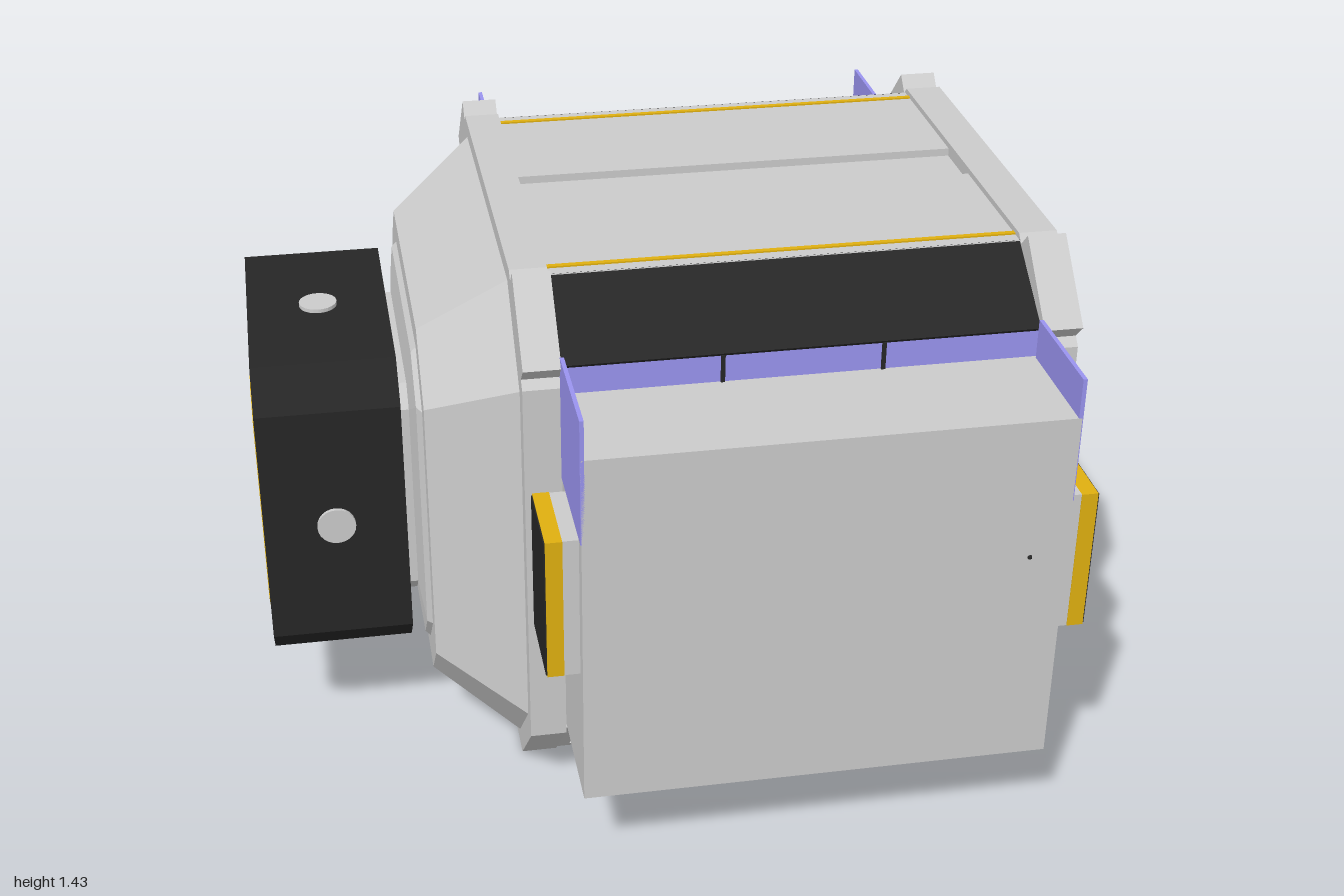
import * as THREE from 'three';

const mat = (color, side = THREE.FrontSide) =>
  new THREE.MeshStandardMaterial({ color, side, flatShading: true });
const GREY = mat(0xcccccc), SHELL = mat(0xcccccc, THREE.DoubleSide);
const BLACK = mat(0x262626), YELLOW = mat(0xe0b010), GLASS = mat(0x9a94f0);
const CY = 0.705;              // height of the module's axis
const X0 = -0.27, X1 = 0.88;   // hull between the two end rings

export function createModel() {
  const root = new THREE.Group();
  root.name = 'laboratoryModule';

  const add = (name, geo, m, pos = [0, 0, 0], rot = [0, 0, 0], parent = root) => {
    const mesh = new THREE.Mesh(geo, m);
    mesh.name = name;
    mesh.position.set(...pos);
    mesh.rotation.set(...rot);
    parent.add(mesh);
    return mesh;
  };
  // Box given by its limits; s mirrors it to the other side
  const box = (name, x, y, z, m = GREY, s = 1) =>
    add(name, new THREE.BoxGeometry(x[1] - x[0], y[1] - y[0], z[1] - z[0]), m,
      [(x[0] + x[1]) / 2, (y[0] + y[1]) / 2, s * (z[0] + z[1]) / 2]);
  // Sloping panel between two [z, y] points
  const slope = (name, x, p, q, t, m, s) => {
    const dz = s * (q[0] - p[0]), dy = q[1] - p[1];
    add(name, new THREE.BoxGeometry(x[1] - x[0], t, Math.hypot(dz, dy)), m,
      [(x[0] + x[1]) / 2, (p[1] + q[1]) / 2, s * (p[0] + q[0]) / 2], [-Math.atan2(dy, dz), 0, 0]);
  };
  // Chamfered rectangle as [z, y] corners
  const oct = (w, h, c) => [[w - c, -h], [w, c - h], [w, h - c], [w - c, h],
    [c - w, h], [-w, h - c], [-w, c - h], [c - w, -h]];
  const prism = (name, x0, x1, outer, inner, m) => {
    const path = (pts) => pts.map(([a, b]) => new THREE.Vector2(a, b));
    const shape = new THREE.Shape(path(outer));
    if (inner) shape.holes.push(new THREE.Path(path(inner)));
    const geo = new THREE.ExtrudeGeometry(shape, { depth: x1 - x0, bevelEnabled: false });
    return add(name, geo, m, [x0, CY, 0], [0, Math.PI / 2, 0]);
  };

  // End rings with clamp blocks on the upper corners
  for (const [a, b] of [[-0.36, X0], [X1, 0.975]]) {
    prism('endRing', a, b, oct(0.7, 0.705, 0.21), oct(0.65, 0.652, 0.2), GREY);
    for (const s of [1, -1]) slope('ringClamp', [a, b], [0.525, 1.405], [0.695, 1.235], 0.07, GREY, s);
  }

  // Tapered end with stepped neck, lofted through octagons
  const stations = [[-0.34, 0.66, 0.675, 0.2], [-0.575, 0.5, 0.5, 0.145], [-0.575, 0.43, 0.43, 0.12],
    [-0.588, 0.41, 0.415, 0.1], [-0.6, 0.31, 0.305, 0.05], [-0.635, 0.31, 0.305, 0.05]];
  const verts = [], idx = [];
  stations.forEach(([x, w, h, c], i) => {
    oct(w, h, c).forEach(([z, y], j) => {
      verts.push(x, y + CY, z);
      const k = (j + 1) % 8, n = i * 8;
      if (i) idx.push(n - 8 + j, n - 8 + k, n + k, n - 8 + j, n + k, n + j);
    });
  });
  const cone = new THREE.BufferGeometry();
  cone.setAttribute('position', new THREE.Float32BufferAttribute(verts, 3));
  cone.setIndex(idx);
  const flat = cone.toNonIndexed();
  flat.computeVertexNormals();
  add('taperedEnd', flat, SHELL);

  // Hatch block with yellow outline and round side caps
  prism('hatchBlock', -0.98, -0.625, oct(0.41, 0.41, 0.09), null, BLACK);
  prism('hatchInnerPanel', -0.625, -0.615, oct(0.3, 0.3, 0.05), null, GREY);
  prism('hatchOutline', -0.984, -0.978, oct(0.32, 0.32, 0.06), oct(0.308, 0.308, 0.055), YELLOW);
  for (let i = 0; i < 4; i++) {
    const a = i * Math.PI / 2;
    add('hatchCap', new THREE.CylinderGeometry(0.048, 0.048, 0.02, 24), GREY,
      [-0.8, CY + 0.41 * Math.cos(a), 0.41 * Math.sin(a)], [a, 0, 0]);
  }

  // Roof and floor with centre strips
  box('roofStrip', [X0, X1], [1.355, 1.375], [-0.085, 0.085]);
  box('floorStrip', [X0, X1], [0.035, 0.055], [-0.16, 0.16]);

  for (const s of [1, -1]) {
    const X = [X0, X1];
    box('roofPanel', X, [1.36, 1.395], [0.085, 0.5], GREY, s);
    box('roofStripe', X, [1.358, 1.399], [0.452, 0.466], YELLOW, s);
    box('floorPanel', X, [0.025, 0.05], [0.16, 0.5], GREY, s);
    box('floorStripe', X, [0.022, 0.053], [0.47, 0.49], YELLOW, s);

    // Black upper slope with padded inner rolls
    slope('upperSlope', X, [0.49, 1.385], [0.69, 1.245], 0.025, BLACK, s);
    for (const [z, y] of [[0.51, 1.342], [0.575, 1.297], [0.64, 1.252]])
      add('ceilingRoll', new THREE.CylinderGeometry(0.03, 0.03, X1 - X0, 12), GREY,
        [(X0 + X1) / 2, y, s * z], [0, 0, Math.PI / 2]);

    // Lower slope: louvred vent
    const at = (t) => [0.5 + 0.19 * t, 0.035 + 0.205 * t];
    slope('ventBack', X, at(0), at(1), 0.012, BLACK, s);
    slope('ventFrame', X, at(0), at(0.1), 0.035, GREY, s);
    slope('ventFrame', X, at(0.9), at(1), 0.035, GREY, s);
    slope('ventFrame', [X0, X0 + 0.03], at(0), at(1), 0.035, GREY, s);
    slope('ventFrame', [X1 - 0.03, X1], at(0), at(1), 0.035, GREY, s);
    for (let i = 0; i < 4; i++)
      slope('ventLouvre', [X0 + 0.06, X1 - 0.06], at(0.19 + i * 0.17), at(0.28 + i * 0.17), 0.03, GREY, s);

    // Overhead windows with dark seams
    box('overheadWindow', X, [0.96, 1.25], [0.68, 0.692], GLASS, s);
    for (const x of [0.112, 0.498])
      box('windowSeam', [x - 0.005, x + 0.005], [0.96, 1.25], [0.676, 0.697], BLACK, s);

    // Side pod: hollow bay with worktop
    box('podOuterWall', X, [0.24, 1.18], [0.98, 1], GREY, s);
    box('podRoof', X, [1.16, 1.18], [0.692, 0.98], GREY, s);
    box('podFloor', X, [0.24, 0.26], [0.68, 0.98], GREY, s);
    box('benchFront', X, [0.26, 0.56], [0.68, 0.7], GREY, s);
    box('worktop', X, [0.56, 0.58], [0.675, 0.98], GREY, s);
    for (const x of [0.112, 0.498])
      box('podCeilingSeam', [x - 0.004, x + 0.004], [1.156, 1.16], [0.7, 0.98], BLACK, s);

    // Pod ends: wall, glass fin, and black-faced unit
    for (const [xe, d] of [[X0, -1], [X1, 1]]) {
      const span = (a, b) => [xe + d * a, xe + d * b].sort((p, q) => p - q);
      box('podEndWall', span(-0.012, 0), [0.24, 0.96], [0.69, 1], GREY, s);
      box('podEndGlass', span(-0.008, 0.002), [0.96, 1.28], [0.7, 1], GLASS, s);
      box('unitMount', span(0, 0.038), [0.58, 0.95], [0.745, 0.96], GREY, s);
      box('unitBody', span(0.038, 0.078), [0.58, 0.95], [0.742, 0.962], YELLOW, s);
      box('unitFace', span(0.077, 0.081), [0.583, 0.947], [0.745, 0.959], BLACK, s);
    }

    // Handrail on the bench front
    add('handrail', new THREE.CylinderGeometry(0.014, 0.014, 0.8, 12), GREY,
      [0.37, 0.49, s * 0.64], [0, 0, Math.PI / 2]);
    for (const x of [-0.03, 0.77])
      box('railBracket', [x - 0.012, x + 0.012], [0.48, 0.5], [0.63, 0.69], BLACK, s);

    // Clipboards on the worktop
    for (const [x, r] of [[0.2, 0.3], [0.66, -0.4]]) {
      const board = new THREE.Group();
      board.name = 'clipboard';
      board.position.set(x, 0.584, s * 0.82);
      board.rotation.y = r;
      add('board', new THREE.BoxGeometry(0.12, 0.008, 0.16), mat(0x8a5a44), [0, 0, 0], [0, 0, 0], board);
      add('paper', new THREE.BoxGeometry(0.1, 0.004, 0.135), mat(0xf0f0f0), [0, 0.006, 0], [0, 0, 0], board);
      add('clip', new THREE.BoxGeometry(0.04, 0.014, 0.015), BLACK, [0, 0.007, -0.07], [0, 0, 0], board);
      root.add(board);
    }
  }
  add('portDot', new THREE.SphereGeometry(0.006, 8, 6), BLACK, [0.79, 0.815, 1]);

  // Microscope on the rear worktop
  const scope = new THREE.Group();
  scope.name = 'microscope';
  scope.position.set(0.43, 0.58, -0.82);
  const part = (name, geo, m, pos, rot) => add(name, geo, m, pos, rot, scope);
  part('scopeBase', new THREE.BoxGeometry(0.11, 0.025, 0.14), GREY, [0, 0.0125, 0]);
  part('scopeArm', new THREE.BoxGeometry(0.035, 0.17, 0.03), GREY, [0, 0.1, -0.05]);
  part('scopeStage', new THREE.BoxGeometry(0.11, 0.012, 0.1), BLACK, [0, 0.08, 0.01]);
  part('scopeLamp', new THREE.CylinderGeometry(0.025, 0.03, 0.025, 16), BLACK, [0, 0.037, 0.01]);
  part('scopeLens', new THREE.CylinderGeometry(0.022, 0.012, 0.06, 16), BLACK, [0, 0.13, 0.01]);
  part('scopeHead', new THREE.BoxGeometry(0.05, 0.04, 0.1), GREY, [0, 0.18, -0.01]);
  for (const x of [-0.015, 0.015])
    part('eyepiece', new THREE.CylinderGeometry(0.012, 0.012, 0.06, 12), BLACK, [x, 0.21, 0.035], [0.6, 0, 0]);
  root.add(scope);

  // Small instruments on the front worktop
  box('sampleTray', [0.38, 0.5], [0.58, 0.61], [0.74, 0.84]);
  add('sampleJar', new THREE.CylinderGeometry(0.03, 0.03, 0.08, 16), BLACK, [0.0, 0.62, 0.78]);

  return root;
}
